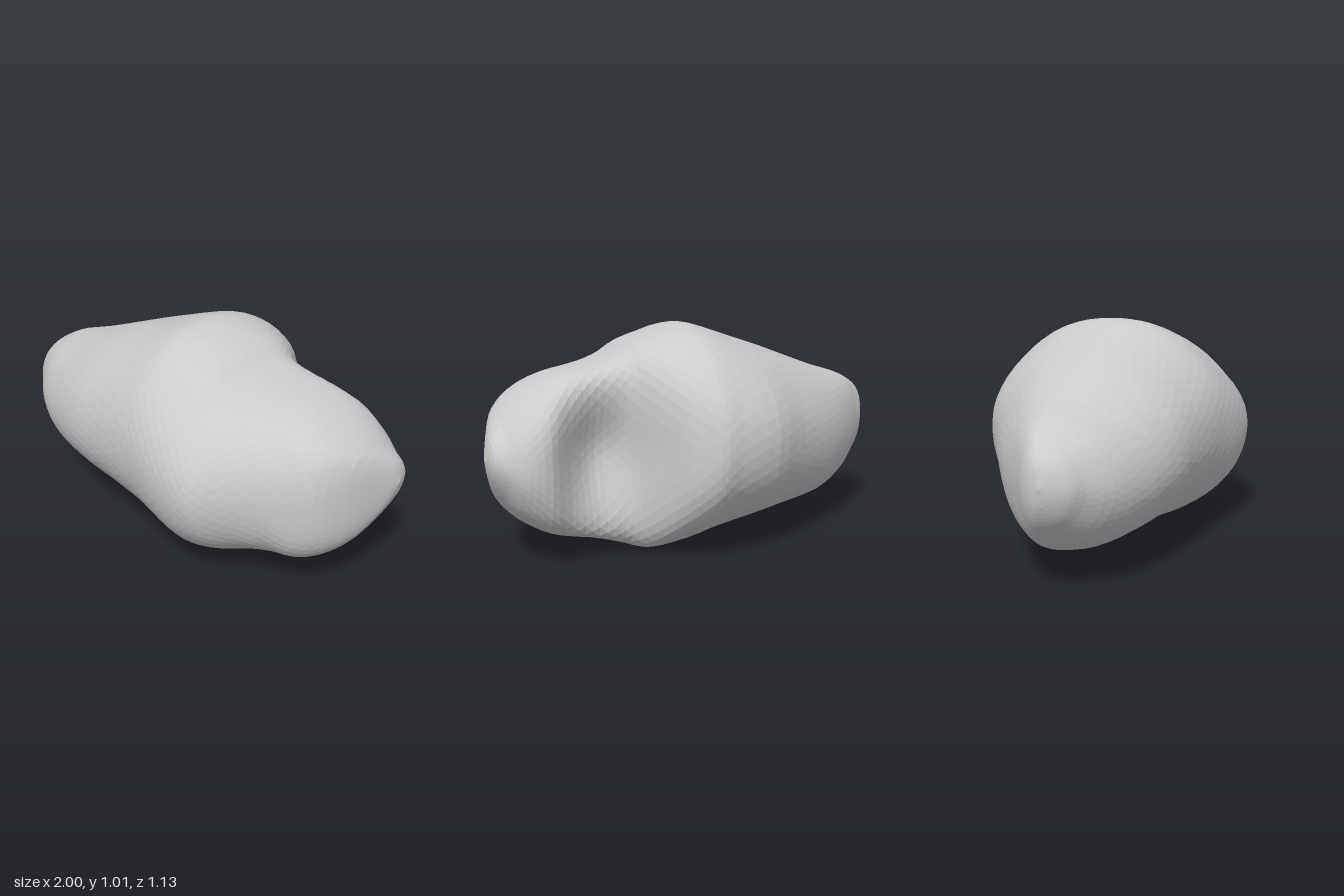
import * as THREE from 'three';

// Outline of the rock along its length: x, top y, bottom y, back z, front z
const OUTLINE = [
  [-1.0, 0.5, 0.5, 0.07, 0.07],
  [-0.985, 0.58, 0.42, 0.02, 0.12],
  [-0.95, 0.635, 0.35, -0.03, 0.18],
  [-0.9, 0.675, 0.29, -0.07, 0.22],
  [-0.8, 0.725, 0.2, -0.15, 0.3],
  [-0.65, 0.775, 0.13, -0.26, 0.37],
  [-0.4, 0.87, 0.1, -0.41, 0.45],
  [-0.2, 0.94, 0.08, -0.53, 0.48],
  [0.0, 1.01, 0.045, -0.565, 0.51],
  [0.1, 1.01, 0.025, -0.565, 0.53],
  [0.2, 0.98, 0.01, -0.49, 0.55],
  [0.29, 0.95, 0.005, -0.37, 0.56],
  [0.37, 0.9, 0.03, -0.27, 0.56],
  [0.45, 0.87, 0.06, -0.25, 0.54],
  [0.55, 0.85, 0.09, -0.25, 0.46],
  [0.65, 0.83, 0.11, -0.27, 0.38],
  [0.75, 0.79, 0.14, -0.315, 0.33],
  [0.85, 0.73, 0.2, -0.31, 0.25],
  [0.92, 0.67, 0.28, -0.27, 0.12],
  [0.975, 0.59, 0.4, -0.23, -0.06],
  [1.0, 0.5, 0.5, -0.15, -0.15],
];

const bump = (v, centre, width) => Math.exp(-(((v - centre) / width) ** 2));

// Asteroid body: a skin over smoothly interpolated cross-sections
function rockGeometry(rings, sides) {
  const spline = (a, b) => new THREE.CatmullRomCurve3(
    OUTLINE.map((r) => new THREE.Vector3(r[0], r[a], r[b])), false, 'catmullrom', 0.5);
  const heights = spline(1, 2);
  const depths = spline(3, 4);
  const positions = [];
  const indices = [];

  for (let i = 0; i <= rings; i++) {
    const { x, y: top, z: bottom } = heights.getPoint(i / rings);
    const { y: back, z: front } = depths.getPoint(i / rings);
    const cy = (top + bottom) / 2;
    // The crest runs along z = 0 and only leaves it at the two tips
    const margin = 0.3 * (front - back);
    const cz = THREE.MathUtils.clamp(0, back + margin, front - margin);
    const backPower = 2 + 3 * bump(x, 0.52, 0.22);
    const frontPower = 2 + 0.8 * bump(x, 0.83, 0.15);
    const hollow = 0.11 * bump(x, 0.5, 0.17);
    for (let j = 0; j < sides; j++) {
      const a = ((j + (i % 2) * 0.5) / sides) * Math.PI * 2;
      const c = Math.cos(a);
      const s = Math.sin(a);
      // Squarer section behind, where the groove crosses, and at the blunt end
      const n = c < 0 ? backPower : frontPower;
      const r = (Math.abs(c) ** n + Math.abs(s) ** n) ** (-1 / n);
      // Gentle unevenness of the surface
      const k = r * (1 + 0.006 * Math.sin(7 * x + 3 * a) * Math.sin(5 * a - 4 * x));
      const y = cy + k * s * (top - bottom) / 2;
      let z = cz + k * c * (c < 0 ? cz - back : front - cz);
      // Hollow in the middle of the groove
      if (c < 0) z -= hollow * bump(y, 0.48, 0.27) * c;
      positions.push(x, y, z);
    }
  }
  for (let i = 0; i < rings; i++) {
    for (let j = 0; j < sides; j++) {
      const n = (j + 1) % sides;
      const a = i * sides + j;
      const b = i * sides + n;
      const c = a + sides;
      const d = b + sides;
      // Staggered rings, so the diagonal alternates
      if (i % 2) indices.push(a, d, c, a, b, d);
      else indices.push(a, b, c, b, d, c);
    }
  }
  const geometry = new THREE.BufferGeometry();
  geometry.setAttribute('position', new THREE.Float32BufferAttribute(positions, 3));
  geometry.setIndex(indices);
  geometry.computeVertexNormals();
  return geometry;
}

export function createModel() {
  const model = new THREE.Group();
  model.name = 'asteroid';
  const material = new THREE.MeshStandardMaterial({
    color: 0xcccccc, flatShading: true, side: THREE.DoubleSide,
  });
  const rock = new THREE.Mesh(rockGeometry(60, 48), material);
  rock.name = 'rockBody';
  model.add(rock);
  return model;
}
